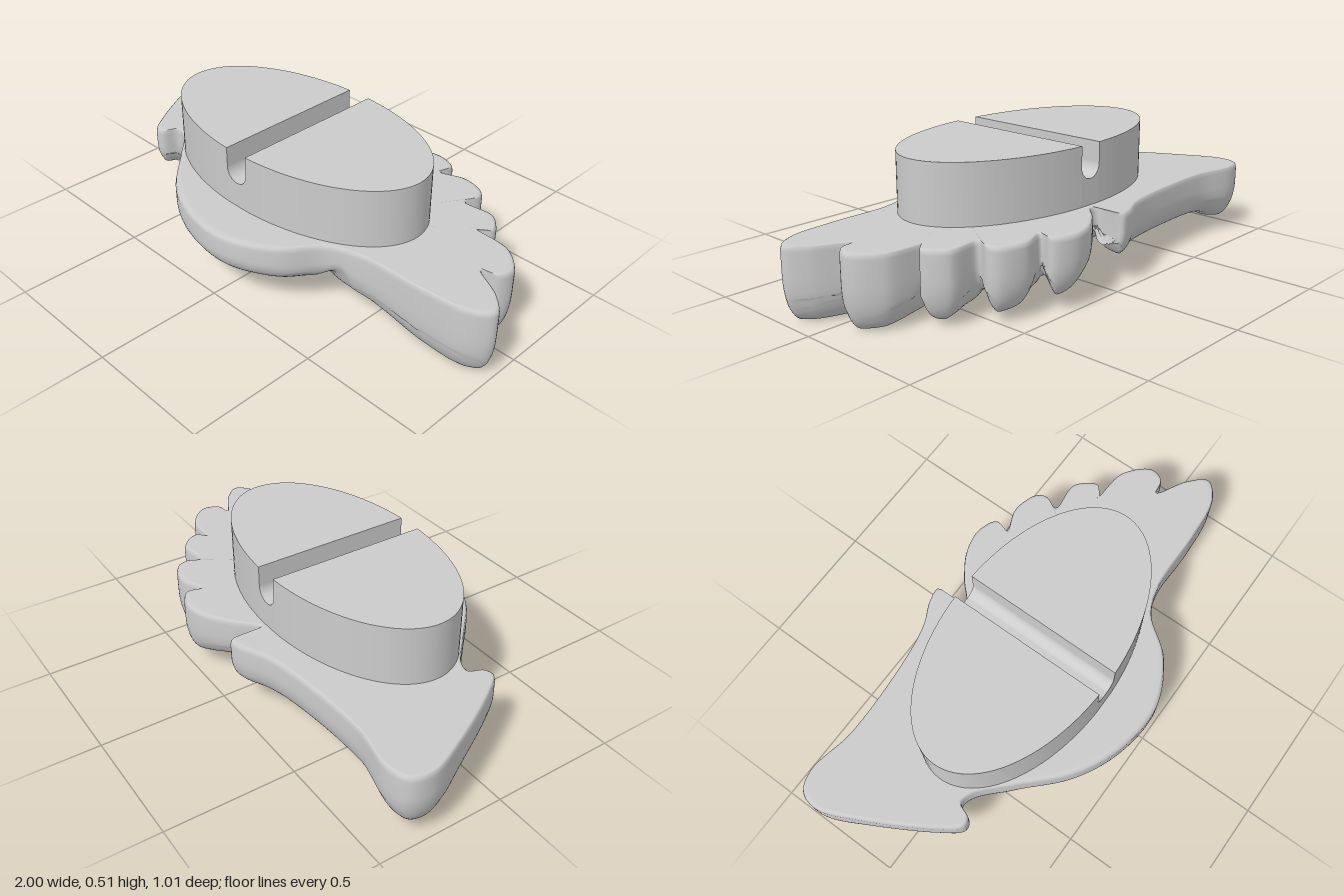
import * as THREE from 'three';
import { toCreasedNormals } from 'three/addons/utils/BufferGeometryUtils.js';

const TOP = 0.283;
const material = new THREE.MeshStandardMaterial({ color: 0xcccccc });
const { smoothstep, clamp, lerp } = THREE.MathUtils;

// Plate outline (x, z), running from the pointed end along the back to the feather tips
const OUTLINE = [
  [-1, -0.3], [-0.98, -0.38], [-0.9, -0.41], [-0.7, -0.38], [-0.35, -0.4], [-0.2, -0.43],
  [-0.1, -0.475], [-0.045, -0.48], [-0.05, -0.42], [-0.055, -0.36], [-0.03, -0.35],
  [0.05, -0.42], [0.15, -0.485], [0.25, -0.505], [0.33, -0.47], [0.32, -0.41],
  [0.42, -0.44], [0.52, -0.41], [0.54, -0.37], [0.52, -0.31],
  [0.65, -0.31], [0.71, -0.23], [0.66, -0.2],
  [0.81, -0.18], [0.9, -0.09], [0.88, -0.03], [0.82, -0.015],
  [0.94, 0.06], [0.995, 0.13], [0.93, 0.19], [0.75, 0.215], [0.48, 0.225], [0.36, 0.27],
  [0.25, 0.4], [0.11, 0.48], [0, 0.5], [-0.18, 0.47], [-0.34, 0.39], [-0.5, 0.24],
  [-0.62, 0.13], [-0.67, 0.12], [-0.7, 0.175], [-0.735, 0.18], [-0.8, 0.1], [-0.93, -0.13],
];

// Grooves on the underside start at the notches and fan in to one point
const NOTCHES = [[-0.05, -0.35], [0.32, -0.41], [0.52, -0.31], [0.66, -0.2], [0.82, -0.015], [0.4, 0.24]];
const FAN = [-0.72, -0.06];

const grooves = NOTCHES.map(([x, z]) => new THREE.QuadraticBezierCurve(
  new THREE.Vector2(x, z),
  new THREE.Vector2(lerp(x, FAN[0], 0.5), lerp(z, FAN[1], 0.5) + 0.09),
  new THREE.Vector2(...FAN)).getPoints(60));

function nearest(points, x, z) {
  let best = 9;
  for (const p of points) best = Math.min(best, (p.x - x) ** 2 + (p.y - z) ** 2);
  return Math.sqrt(best);
}

// Height of the underside, before its edge is rounded
function undersideHeight(x, z) {
  const r = Math.hypot(x + 0.1, z - 0.1);
  const feather = smoothstep(x, 0.05, 0.3);
  let h = 0.1 - 0.1 * smoothstep(r, 0.35, 1) * feather;
  h -= 0.06 * Math.exp(-(((x + 0.92) / 0.1) ** 2 + ((z + 0.28) / 0.14) ** 2));
  h += 0.03 * feather * Math.exp(-(((r - 0.45) / 0.05) ** 2)) * smoothstep(-z, -0.15, 0.05);
  for (const g of grooves) h += 0.05 * Math.exp(-((nearest(g, x, z) / 0.028) ** 2));
  return Math.min(h, 0.17);
}

// Flat top, rounded rim and ribbed underside, as rings that shrink to a spine
function plateGeometry() {
  const curve = new THREE.CatmullRomCurve3(
    OUTLINE.map(([x, z]) => new THREE.Vector3(x, 0, z)), true, 'centripetal');
  const rim = curve.getSpacedPoints(480).slice(0, 480).map(p => new THREE.Vector2(p.x, p.z));
  const n = rim.length, positions = [], index = [];

  const inset = (p, t) => {
    const sx = clamp(p.x < 0 ? p.x * 0.9 : p.x * 0.6, -0.65, 0.5);
    const sz = lerp(-0.16, 0.02, (sx + 0.65) / 1.15);
    return [lerp(p.x, sx, t), lerp(p.y, sz, t)];
  };
  const under = (x, z) => {
    const radius = 0.065 + 0.075 * smoothstep(z, 0.2, 0.3);
    const d = Math.min(nearest(rim, x, z) / radius, 1);
    const fraction = 0.4 + 0.6 * Math.sqrt(1 - (1 - d) ** 2);
    return TOP - (TOP - undersideHeight(x, z)) * fraction;
  };
  const rings = [];
  for (const [t, drop] of [[1, 0], [0.5, 0], [0.06, 0], [0.03, 0], [0.01, 0.004], [0, 0.02]])
    rings.push([t, () => TOP - drop]);
  for (let k = 0; k <= 38; k++) rings.push([(k / 38) ** 1.7, under]);

  rings.forEach(([t, height], i) => {
    rim.forEach((p, j) => {
      const [x, z] = inset(p, t);
      positions.push(x, height(x, z), z);
      if (i === rings.length - 1) return;
      const a = i * n + j, b = i * n + (j + 1) % n;
      index.push(a, b, a + n, b, b + n, a + n);
    });
  });
  const geometry = new THREE.BufferGeometry();
  geometry.setAttribute('position', new THREE.Float32BufferAttribute(positions, 3));
  geometry.setIndex(index);
  geometry.computeVertexNormals();
  return geometry;
}

// Oval boss: two ellipse segments joined by a strip with a round-bottomed slot
function createBoss() {
  const boss = new THREE.Group();
  boss.name = 'ovalBoss';
  boss.position.set(-0.05, 0, 0);
  const rx = 0.595, rz = 0.325, half = 0.05, base = 0.26, top = 0.515;

  const limit = Math.acos(half / rx);
  const segment = new THREE.Shape();
  for (let i = 0; i <= 48; i++) {
    const a = lerp(-limit, limit, i / 48);
    segment[i ? 'lineTo' : 'moveTo'](rx * Math.cos(a), rz * Math.sin(a));
  }
  const side = new THREE.ExtrudeGeometry(segment, { depth: top - base, bevelEnabled: false });
  side.rotateX(-Math.PI / 2);
  const sideGeometry = toCreasedNormals(side, 0.5);
  ['leftBossHalf', 'rightBossHalf'].forEach((name, i) => {
    const mesh = new THREE.Mesh(sideGeometry, material);
    mesh.name = name;
    mesh.position.y = base;
    mesh.rotation.y = i * Math.PI;
    boss.add(mesh);
  });

  const profile = new THREE.Shape();
  profile.moveTo(-half, base);
  profile.lineTo(half, base);
  profile.lineTo(half, 0.435);
  profile.absarc(0, 0.435, half, 0, -Math.PI, true);
  const length = 2 * rz * Math.sin(limit);
  const strip = new THREE.ExtrudeGeometry(profile, { depth: length, bevelEnabled: false, curveSegments: 16 });
  strip.translate(0, 0, -length / 2);
  const floor = new THREE.Mesh(toCreasedNormals(strip, 0.5), material);
  floor.name = 'slotFloor';
  boss.add(floor);
  return boss;
}

export function createModel() {
  const model = new THREE.Group();
  model.name = 'wingPlate';
  const plate = new THREE.Mesh(plateGeometry(), material);
  plate.name = 'featheredPlate';
  model.add(plate, createBoss());
  // Rest the lowest point on the ground
  model.position.y = -new THREE.Box3().setFromObject(model).min.y;
  return model;
}
